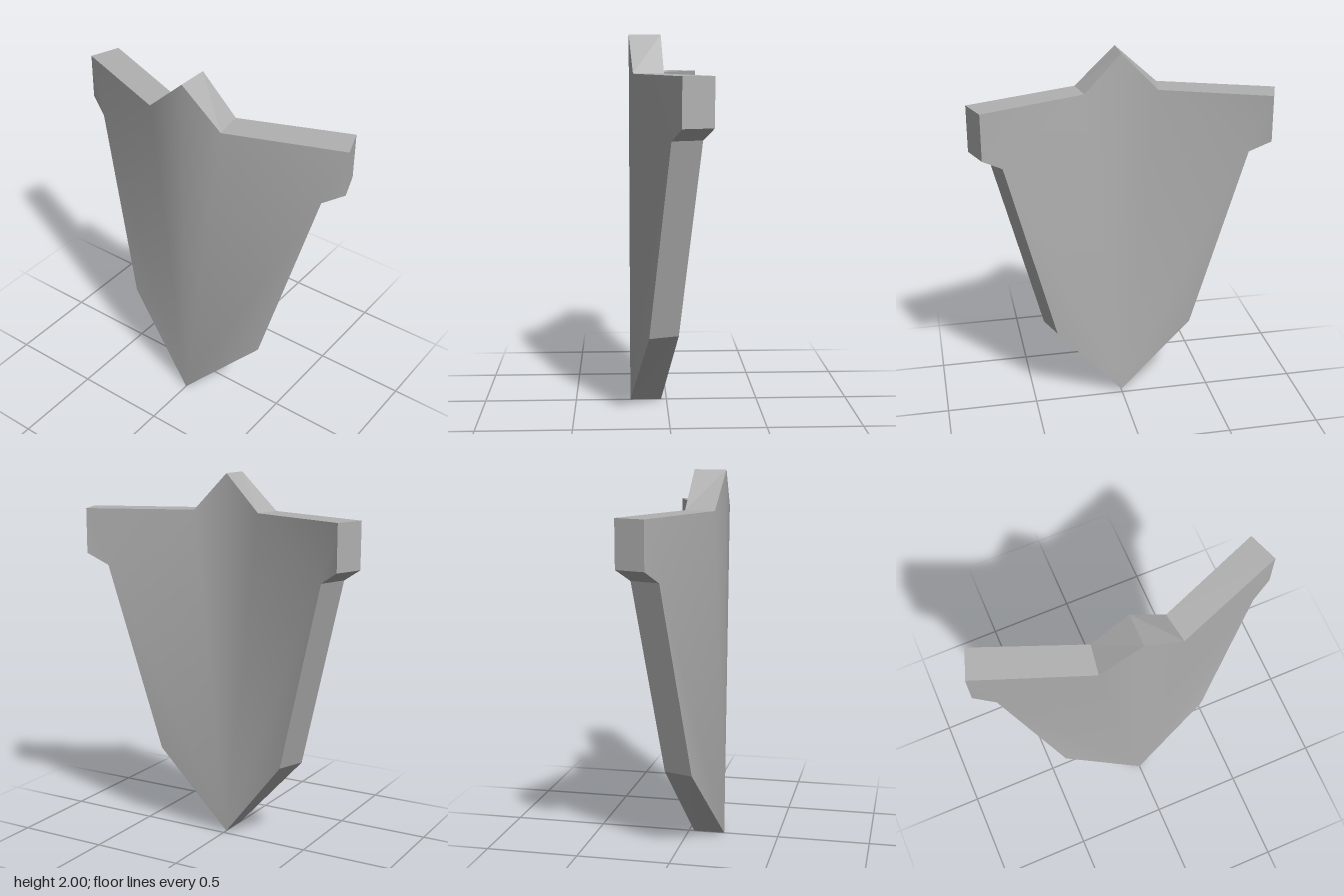
import * as THREE from 'three';

// Right-hand half outline, counter-clockwise from the bottom tip to the top peak:
// [front x, y, front z, back x, back z]
const half = [
  [0, 0, 0.2, 0, 0.03],
  [0.43, 0.455, 0.105, 0.375, -0.05],
  [0.7, 1.49, 0.003, 0.645, -0.152],
  [0.806, 1.555, -0.042, 0.75, -0.2],
  [0.806, 1.8, -0.042, 0.75, -0.2],
  [0.22, 1.8, 0.18, 0.195, 0.02],
  [0, 2, 0.2, 0, 0.03],
];
// Full closed outline: right half, then the mirrored left half
const outline = [
  ...half,
  ...half.slice(1, -1).reverse().map(([x, y, z, bx, bz]) => [-x, y, z, -bx, bz]),
];
const n = outline.length;
const front = outline.map(([x, y, z]) => [x, y, z]);
const back = outline.map(([, y, , bx, bz]) => [bx, y, bz]);

// Triangles of the right half; the left half uses mirrored indices
const halfFaces = [[0, 1, 2], [0, 2, 5], [2, 3, 4], [2, 4, 5], [0, 5, 6]];
const faces = [
  ...halfFaces,
  ...halfFaces.map(([a, b, c]) => [a, c, b].map((i) => (n - i) % n)),
];

function geometry(points, index) {
  const g = new THREE.BufferGeometry();
  g.setAttribute('position', new THREE.Float32BufferAttribute(points.flat(), 3));
  if (index) g.setIndex(index.flat());
  g.computeVertexNormals();
  return g;
}

export function createModel() {
  const group = new THREE.Group();
  group.name = 'shield';
  const grey = new THREE.MeshStandardMaterial({ color: 0xb0b0b0 });
  grey.name = 'plain grey';

  const add = (name, geo) => {
    const mesh = new THREE.Mesh(geo, grey);
    mesh.name = name;
    group.add(mesh);
  };

  // Smooth bent faces
  add('frontFace', geometry(front, faces));
  add('backFace', geometry(back, faces.map(([a, b, c]) => [a, c, b])));

  // Hard-edged rim joining the two faces
  const rim = [];
  for (let i = 0; i < n; i++) {
    const j = (i + 1) % n;
    rim.push(front[i], back[i], back[j], front[i], back[j], front[j]);
  }
  add('rim', geometry(rim));

  return group;
}
